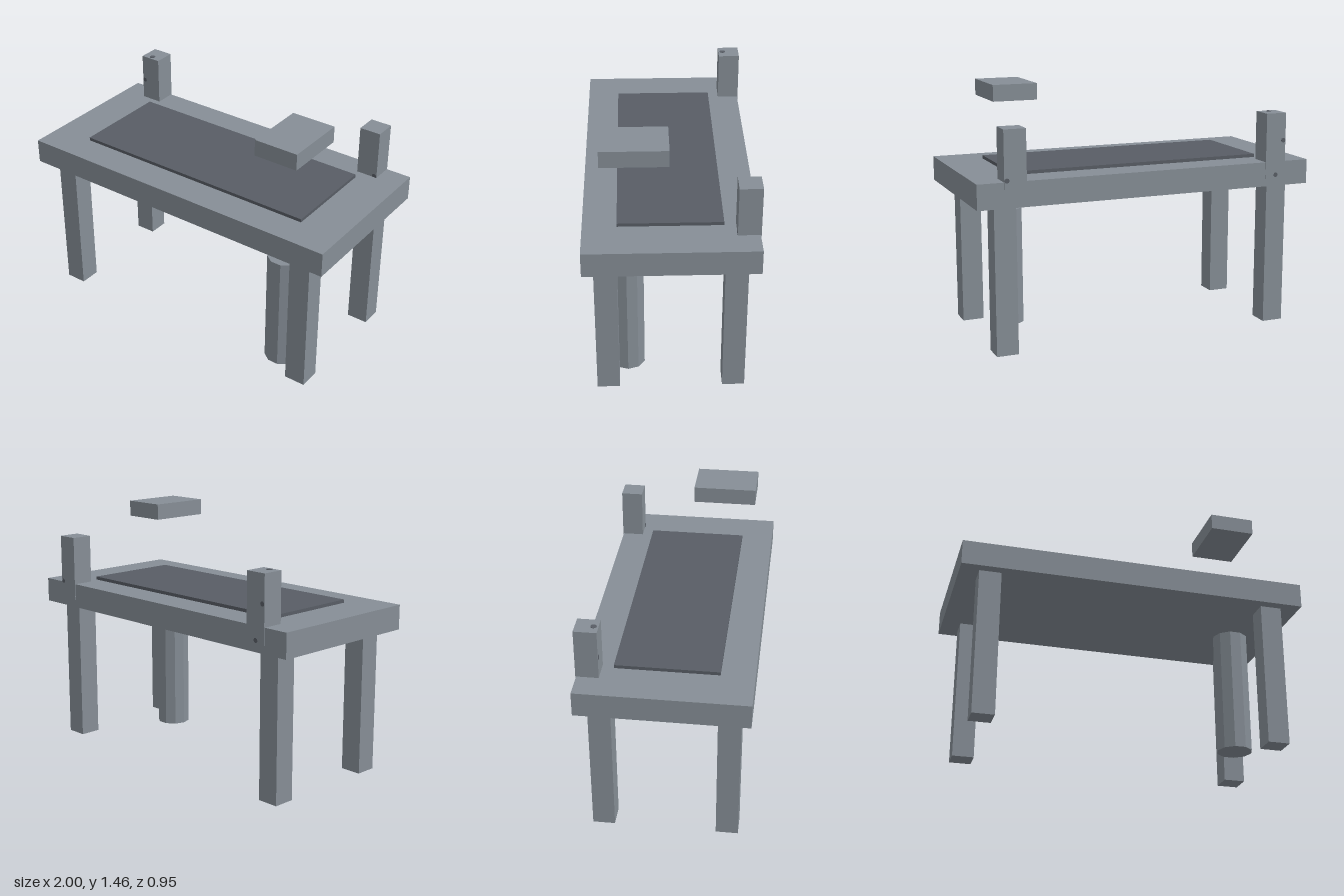
import * as THREE from 'three';

export function createModel() {
  const model = new THREE.Group();
  model.name = 'workDesk';

  const material = (name, color) => {
    const m = new THREE.MeshStandardMaterial({ color });
    m.name = name;
    return m;
  };
  const grey = material('slate grey', 0x868e96);
  const dark = material('dark grey', 0x585d65);

  const add = (name, geometry, mat, x, y, z) => {
    const mesh = new THREE.Mesh(geometry, mat);
    mesh.name = name;
    mesh.position.set(x, y, z);
    model.add(mesh);
    return mesh;
  };
  // Box given by its extents along each axis
  const box = (name, mat, [x0, x1], [y0, y1], [z0, z1]) =>
    add(name, new THREE.BoxGeometry(x1 - x0, y1 - y0, z1 - z0), mat,
      (x0 + x1) / 2, (y0 + y1) / 2, (z0 + z1) / 2);

  // Table top with its inset mat
  box('tableTop', grey, [-1, 1], [0.855, 0.997], [-0.47, 0.47]);
  box('deskMat', dark, [-0.75, 0.75], [0.997, 1.016], [-0.285, 0.285]);

  // Four legs and two rear posts
  for (const s of [-1, 1]) {
    const side = s > 0 ? 'left' : 'right';
    for (const t of [-1, 1]) {
      add(side + (t > 0 ? 'FrontLeg' : 'BackLeg'),
        new THREE.BoxGeometry(0.125, 0.84, 0.125), grey, s * 0.83, 0.435, t * 0.35);
    }
    add(side + 'Post', new THREE.BoxGeometry(0.125, 0.38, 0.125), grey, s * 0.787, 1.09, -0.4115);
  }

  // Floating slab above the desk
  box('floatingSlab', grey, [0.5, 0.76], [1.365, 1.459], [0.005, 0.37]);

  // Ten-sided column under the desk
  const columnMesh = new THREE.CylinderGeometry(0.1, 0.1, 0.705, 10).rotateY(Math.PI / 10).toNonIndexed();
  columnMesh.computeVertexNormals();
  add('underDeskColumn', columnMesh, grey, 0.63, 0.3525, 0.24);

  // Small pins running through the posts, showing as flush dots
  const pin = new THREE.CylinderGeometry(0.014, 0.014, 0.128, 8).rotateX(Math.PI / 2);
  for (const [x, y] of [[-0.835, 1.12], [0.835, 1.005], [-0.79, 0.92]]) {
    add('postPin', pin, dark, x, y, -0.4115);
  }
  // Dot on top of the right post
  add('postTopDot', new THREE.CylinderGeometry(0.017, 0.017, 0.003, 8), dark, -0.79, 1.281, -0.375);

  return model;
}
